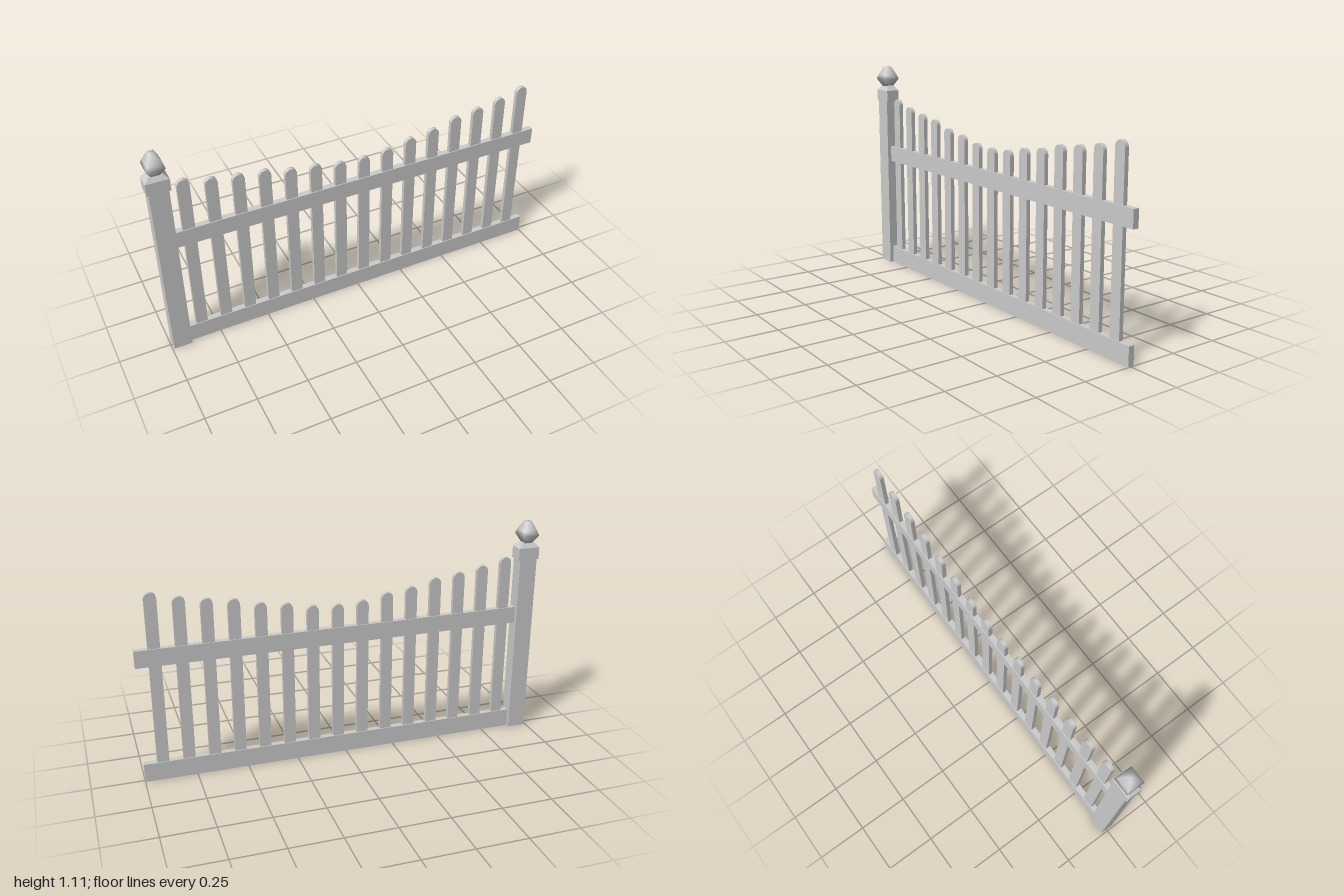
import * as THREE from 'three';

const material = new THREE.MeshStandardMaterial({ color: 0xcccccc });
const POST_X = -0.946;

function add(group, name, geometry, x = 0, y = 0, z = 0) {
  const mesh = new THREE.Mesh(geometry, material);
  mesh.name = name;
  mesh.position.set(x, y, z);
  group.add(mesh);
  return mesh;
}

// Flat-faced square frustum given by half widths at bottom and top
function frustum(bottom, top, height, depthScale) {
  const r = Math.SQRT2;
  const geo = new THREE.CylinderGeometry(top * r, bottom * r, height, 4, 1, false, Math.PI / 4).toNonIndexed();
  geo.scale(1, 1, depthScale);
  geo.computeVertexNormals();
  return geo;
}

// Upright board with a rounded top
function picketGeometry(width, bottom, top, depth) {
  const r = width / 2;
  const shape = new THREE.Shape();
  shape.moveTo(-r, bottom);
  shape.lineTo(r, bottom);
  shape.lineTo(r, top - r);
  shape.absarc(0, top - r, r, 0, Math.PI, false);
  shape.closePath();
  const geo = new THREE.ExtrudeGeometry(shape, { depth, bevelEnabled: false, curveSegments: 8 });
  return geo.translate(0, 0, -depth / 2);
}

export function createModel() {
  const model = new THREE.Group();
  model.name = 'picketFence';

  // Post with cap and four-sided finial
  const post = new THREE.Group();
  post.name = 'post';
  post.position.x = POST_X;
  model.add(post);
  add(post, 'postShaft', new THREE.BoxGeometry(0.09, 0.93, 0.068), 0, 0.465);
  add(post, 'postCap', new THREE.BoxGeometry(0.108, 0.06, 0.072), 0, 0.947);
  add(post, 'capSlope', frustum(0.054, 0.03, 0.025, 0.667), 0, 0.9895);

  const profile = [[0, 0.998], [0.02, 0.998], [0.044, 1.04], [0.036, 1.062], [0.015, 1.106], [0, 1.107]]
    .map(([r, y]) => new THREE.Vector2(r * Math.SQRT2, y));
  add(post, 'finial', new THREE.LatheGeometry(profile, 4, Math.PI / 4)).scale.set(0.96, 1, 1.03);

  // Two horizontal rails
  const railStart = -0.9;
  const railLength = 1 - railStart;
  for (const [name, low, high] of [['bottomRail', 0, 0.092], ['topRail', 0.584, 0.668]]) {
    add(model, name, new THREE.BoxGeometry(railLength, high - low, 0.03),
      railStart + railLength / 2, (low + high) / 2);
  }

  // Pickets dip towards the middle, mirrored about the centre one
  const tops = [0.783, 0.79, 0.815, 0.832, 0.864, 0.88, 0.902, 0.933];
  for (let i = -7; i <= 7; i++) {
    add(model, 'picket', picketGeometry(0.057, 0.02, tops[Math.abs(i)], 0.021), 0.037 + i * 0.1245);
  }
  return model;
}
